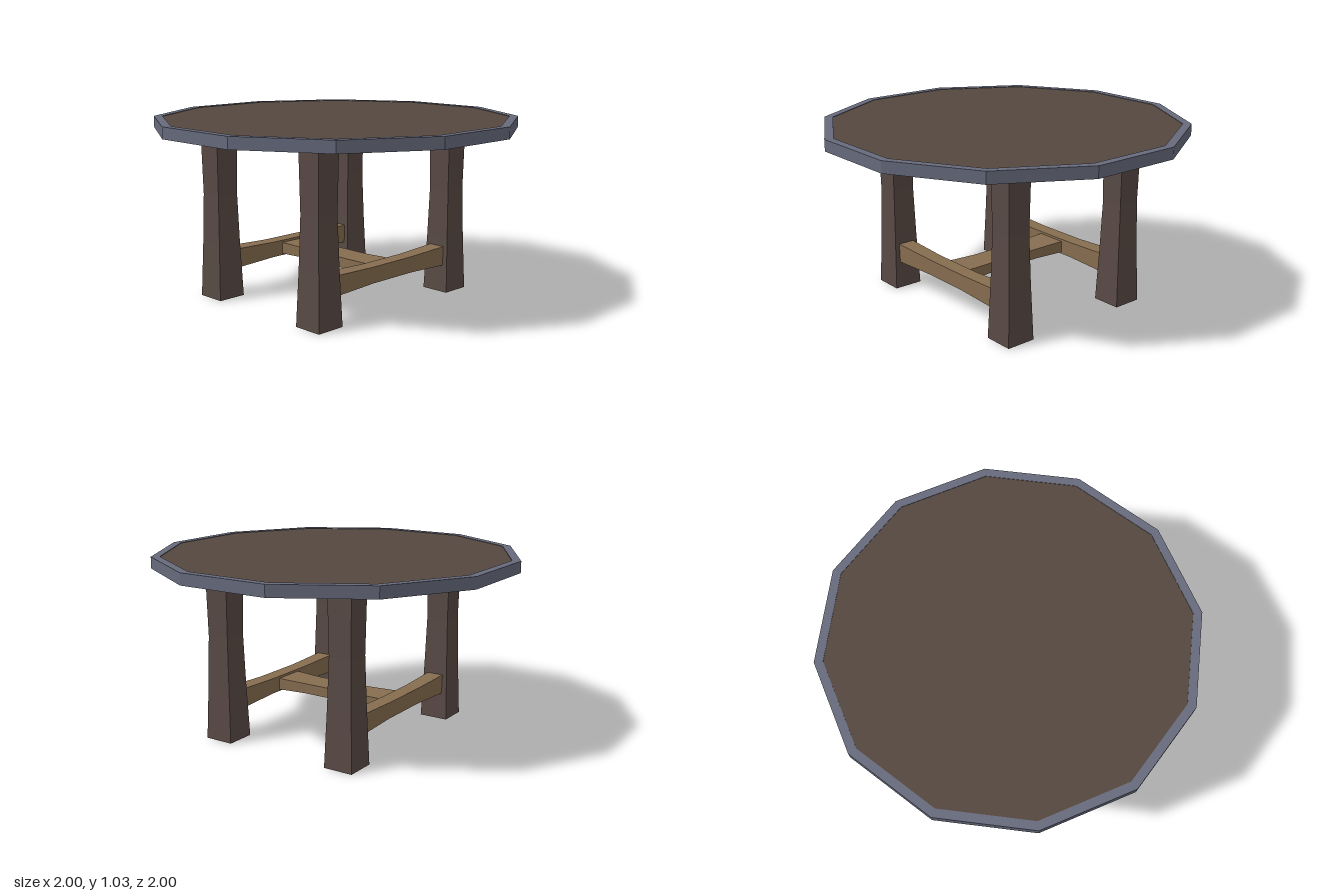
import * as THREE from 'three';

const mat = (name, color, flatShading = true) => {
  const m = new THREE.MeshStandardMaterial({ color, flatShading });
  m.name = name;
  return m;
};

// Square-section beam along y. Each section is [y, width in x, width in z].
function beam(sections) {
  const n = sections.length - 1;
  const geo = new THREE.BoxGeometry(1, n, 1, 1, n, 1);
  const p = geo.attributes.position;
  for (let i = 0; i < p.count; i++) {
    const [y, w, d] = sections[Math.round(p.getY(i) + n / 2)];
    p.setXYZ(i, p.getX(i) * w, y, p.getZ(i) * d);
  }
  const flat = geo.toNonIndexed();
  flat.computeVertexNormals();
  return flat;
}

// Twelve-sided outline with the given distance from centre to flat side
function outline(apothem, Type) {
  const pts = [];
  for (let i = 0; i < 12; i++) {
    const a = Math.PI / 12 + (i * Math.PI) / 6;
    const r = apothem / Math.cos(Math.PI / 12);
    pts.push(new THREE.Vector2(r * Math.cos(a), r * Math.sin(a)));
  }
  return new Type(pts);
}

function slab(shape, y0, y1) {
  const geo = new THREE.ExtrudeGeometry(shape, { depth: y1 - y0, bevelEnabled: false });
  return geo.rotateX(-Math.PI / 2).translate(0, y0, 0);
}

export function createModel() {
  const group = new THREE.Group();
  group.name = 'roundTable';
  const panelMat = mat('dark top wood', 0x54473f);
  const rimMat = mat('blue grey metal', 0x666a7b);
  const legMat = mat('dark leg wood', 0x594a45);
  const lightMat = mat('light wood', 0x866d50);

  const add = (name, geo, material) => {
    const mesh = new THREE.Mesh(geo, material);
    mesh.name = name;
    group.add(mesh);
    return mesh;
  };

  // Table top: metal rim around a wooden panel
  const ring = outline(1, THREE.Shape);
  ring.holes.push(outline(0.953, THREE.Path));
  add('topRim', slab(ring, 0.97, 1.035), rimMat);
  add('topPanel', slab(outline(0.953, THREE.Shape), 0.973, 1.032), panelMat);

  // Waisted legs with light end grain
  const legGeo = beam([
    [0, 0.172, 0.172], [0.32, 0.149, 0.149], [0.6, 0.134, 0.134], [0.975, 0.146, 0.146],
  ]);
  const legMats = [legMat, legMat, lightMat, lightMat, legMat, legMat];
  for (const x of [-0.41, 0.397]) {
    for (const z of [-0.516, 0.521]) {
      add('leg', legGeo, legMats).position.set(x, 0, z);
    }
  }

  // Side stretchers from front leg to back leg
  const sideGeo = beam([
    [-0.48, 0.1, 0.115], [-0.16, 0.088, 0.092], [0.16, 0.088, 0.092], [0.48, 0.1, 0.115],
  ]).rotateX(Math.PI / 2);
  for (const x of [-0.41, 0.397]) {
    add('sideStretcher', sideGeo, lightMat).position.set(x, 0.215, 0);
  }

  // Wide cross stretcher joining the side stretchers
  const crossGeo = beam([
    [-0.4, 0.07, 0.19], [-0.17, 0.059, 0.165], [0.17, 0.059, 0.165], [0.39, 0.07, 0.19],
  ]).rotateZ(-Math.PI / 2);
  add('crossStretcher', crossGeo, lightMat).position.set(0, 0.213, 0);

  return group;
}
